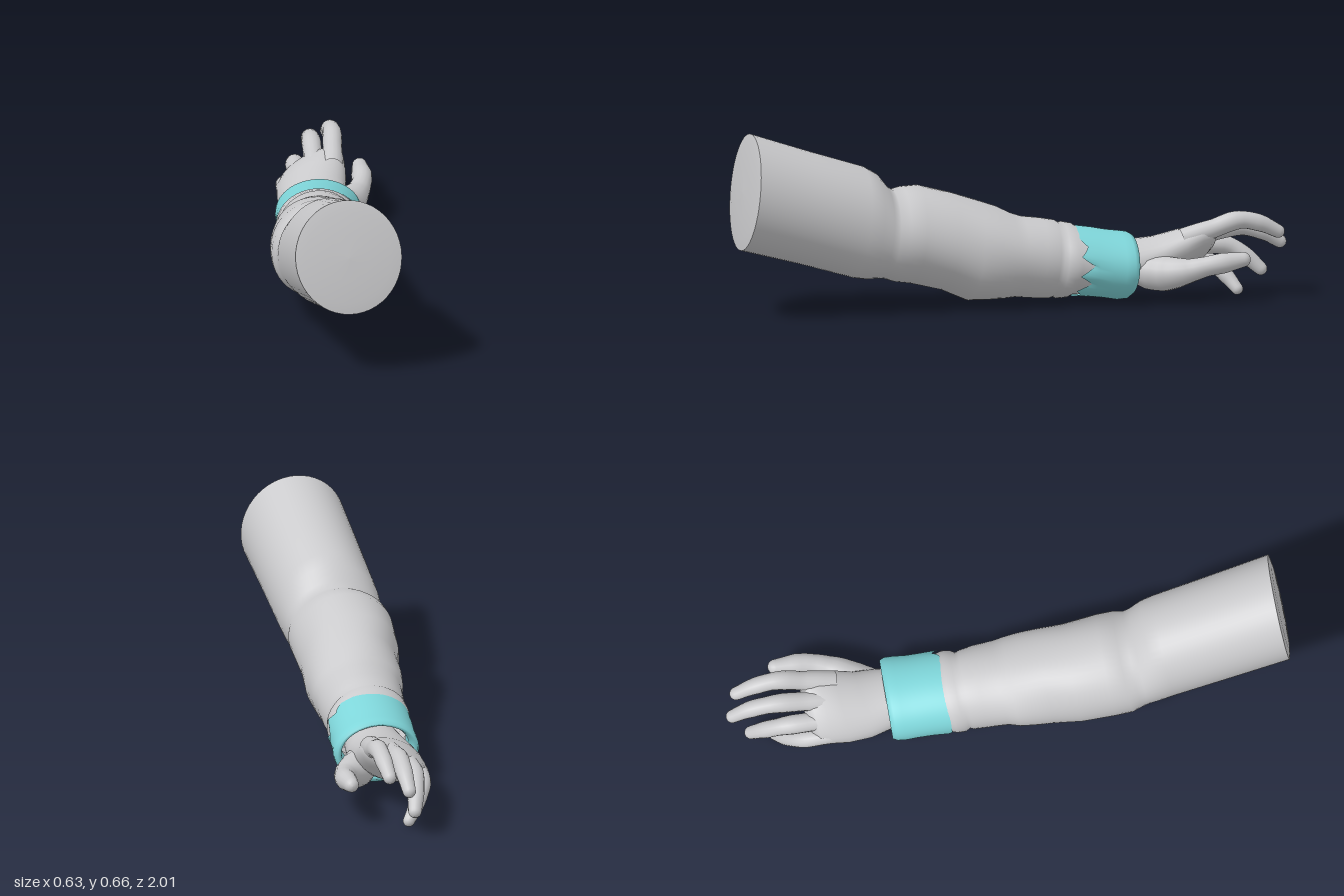
import * as THREE from 'three';

const grey = new THREE.MeshStandardMaterial({ color: 0xcacacc, side: THREE.DoubleSide });
grey.name = 'paleGrey';
const teal = new THREE.MeshStandardMaterial({ color: 0x7fd6da, side: THREE.DoubleSide });
teal.name = 'teal';

// Skin a list of equal-length rings of Vector3 into one smooth surface
function skin(rings) {
  const n = rings[0].length;
  const index = [];
  for (let i = 0; i < rings.length - 1; i++) {
    for (let j = 0; j < n; j++) {
      const k = (j + 1) % n;
      const a = i * n + j, b = (i + 1) * n + j, c = (i + 1) * n + k, d = i * n + k;
      index.push(a, b, d, b, c, d);
    }
  }
  const geo = new THREE.BufferGeometry().setFromPoints(rings.flat());
  geo.setIndex(index);
  geo.computeVertexNormals();
  return geo;
}

// Ring from [z, cx, cy, rx, ry, roll]; kx and ky lean it, wobble(a, z) scales it, jag(a) shifts z
function section([z, cx, cy, rx, ry, roll = 0], { n = 48, kx = 0, ky = 0, wobble, jag } = {}) {
  return Array.from({ length: n }, (_, j) => {
    const a = (j / n) * Math.PI * 2;
    const s = wobble ? wobble(a, z) : 1;
    const u = Math.cos(a) * rx * s, v = Math.sin(a) * ry * s;
    const x = u * Math.cos(roll) - v * Math.sin(roll);
    const y = u * Math.sin(roll) + v * Math.cos(roll);
    return new THREE.Vector3(cx + x, cy + y, z + kx * x + ky * y + (jag ? jag(a) : 0));
  });
}

// Rounded finger along a path, radii spread evenly over its length
function digit(points, radii) {
  const curve = new THREE.CatmullRomCurve3(points.map((p) => new THREE.Vector3(...p)));
  const up = new THREE.Vector3(0, 1, 0);
  const n = 16, steps = 28;
  const rings = [];
  const addRing = (t, r, push) => {
    const T = curve.getTangent(t);
    const u = new THREE.Vector3().crossVectors(T, up).normalize();
    const v = new THREE.Vector3().crossVectors(u, T);
    const c = curve.getPoint(t).addScaledVector(T, push);
    rings.push(Array.from({ length: n }, (_, j) => {
      const a = (j / n) * Math.PI * 2;
      return c.clone().addScaledVector(u, Math.cos(a) * r).addScaledVector(v, Math.sin(a) * r);
    }));
  };
  for (let i = 0; i <= steps; i++) {
    const f = (i / steps) * (radii.length - 1);
    const k = Math.min(Math.floor(f), radii.length - 2);
    addRing(i / steps, THREE.MathUtils.lerp(radii[k], radii[k + 1], f - k), 0);
  }
  // Domed tip
  const tip = radii[radii.length - 1];
  for (let i = 1; i <= 5; i++) {
    const a = (i / 5) * Math.PI / 2;
    addRing(1, Math.max(tip * Math.cos(a), 0.0004), tip * Math.sin(a));
  }
  return skin(rings);
}

export function createModel() {
  const model = new THREE.Group();
  model.name = 'sleevedArm';
  const add = (name, geo, mat, parent = model) => {
    const mesh = new THREE.Mesh(geo, mat);
    mesh.name = name;
    parent.add(mesh);
  };

  // Sleeve with elbow crease, forearm swell and gathered end
  const wobble = (a, z) => {
    const fade = THREE.MathUtils.clamp((0.6 - z) * 4, 0, 1) * THREE.MathUtils.clamp((z + 0.2) * 5, 0, 1);
    return 1 + fade * (0.012 * Math.sin(3 * a + 9 * z) + 0.008 * Math.sin(5 * a - 14 * z));
  };
  const lean = { kx: 0.13, ky: -0.12, wobble };
  const sleeve = [
    [0.97, -0.132, 0.468, 0.188, 0.207],
    [0.75, -0.118, 0.4, 0.184, 0.2],
    [0.55, -0.104, 0.337, 0.18, 0.198],
    [0.5, -0.102, 0.318, 0.179, 0.188],
    [0.46, -0.102, 0.295, 0.174, 0.164],
    [0.435, -0.102, 0.285, 0.175, 0.158],
    [0.4, -0.1, 0.283, 0.184, 0.168],
    [0.34, -0.093, 0.28, 0.184, 0.174],
    [0.22, -0.076, 0.25, 0.177, 0.173],
    [0.13, -0.05, 0.215, 0.17, 0.178],
    [0.06, -0.038, 0.203, 0.167, 0.166],
    [0.01, -0.028, 0.192, 0.162, 0.152],
    [-0.03, -0.018, 0.188, 0.153, 0.143],
    [-0.1, -0.006, 0.18, 0.149, 0.142],
    [-0.15, 0, 0.173, 0.143, 0.139],
    [-0.165, 0.002, 0.17, 0.138, 0.132],
    [-0.18, 0.005, 0.168, 0.147, 0.136],
    [-0.21, 0.012, 0.166, 0.15, 0.132],
    [-0.23, 0.016, 0.165, 0.144, 0.121],
    [-0.3, 0.028, 0.158, 0.14, 0.115],
  ];
  add('sleeve', skin(sleeve.map((s) => section(s, lean))), grey);

  // Slightly domed shoulder end
  const [z0, x0, y0, rx0, ry0] = sleeve[0];
  const domed = [[0.012, 0.002], [0.01, 0.4], [0.006, 0.8], [0, 1]];
  add('shoulderCap', skin(domed.map(([dz, k]) =>
    section([z0 + dz, x0, y0, rx0 * k, ry0 * k], { kx: 0.13, ky: -0.12 }))), grey);

  // Cuff: ragged front edge, rolled back rim, inner wall
  const cuff = [
    [-0.235, 0.018, 0.165, 0.151, 0.126],
    [-0.29, 0.03, 0.158, 0.15, 0.123],
    [-0.34, 0.04, 0.15, 0.15, 0.121],
    [-0.385, 0.05, 0.143, 0.153, 0.122],
    [-0.415, 0.056, 0.142, 0.152, 0.119],
    [-0.432, 0.058, 0.144, 0.144, 0.108],
    [-0.428, 0.058, 0.145, 0.13, 0.098],
    [-0.4, 0.056, 0.146, 0.122, 0.094],
    [-0.33, 0.04, 0.15, 0.118, 0.092],
  ];
  const ragged = (a) => {
    const tooth = Math.abs(((a * 11 / (Math.PI * 2)) % 1) - 0.5) * 2;
    const side = Math.max(0, Math.cos(a + 0.25)) ** 2 + 0.6 * Math.max(0, Math.cos(a - 4.1)) ** 4;
    return 0.012 - 0.055 * tooth * side;
  };
  add('cuff', skin(cuff.map((s, i) =>
    section(s, { n: 88, kx: 0.14, ky: -0.06, jag: i === 0 ? ragged : undefined }))), teal);

  // Hand, rolled so the thumb side sits higher
  const hand = new THREE.Group();
  hand.name = 'hand';
  model.add(hand);
  const palm = [
    [-0.34, 0.05, 0.147, 0.1, 0.084, 0],
    [-0.44, 0.062, 0.15, 0.112, 0.085, 0.1],
    [-0.52, 0.06, 0.158, 0.122, 0.08, 0.3],
    [-0.6, 0.07, 0.177, 0.134, 0.076, 0.45],
    [-0.66, 0.078, 0.195, 0.135, 0.063, 0.5],
    [-0.7, 0.083, 0.203, 0.122, 0.05, 0.5],
    [-0.722, 0.086, 0.206, 0.09, 0.032, 0.5],
    [-0.73, 0.086, 0.206, 0.001, 0.001, 0.5],
  ];
  add('palm', skin(palm.map((s) => section(s, { n: 32 }))), grey, hand);

  const fingerRadii = [0.04, 0.038, 0.034, 0.035, 0.031, 0.031, 0.027, 0.024];
  const fingers = {
    indexFinger: [[0.145, 0.235, -0.6], [0.168, 0.268, -0.7], [0.187, 0.298, -0.8], [0.196, 0.282, -0.88], [0.2, 0.25, -0.945]],
    middleFinger: [[0.085, 0.215, -0.6], [0.1, 0.242, -0.71], [0.118, 0.262, -0.83], [0.132, 0.238, -0.92], [0.138, 0.202, -0.978]],
    ringFinger: [[0.03, 0.175, -0.6], [0.038, 0.19, -0.7], [0.055, 0.185, -0.81], [0.078, 0.14, -0.88], [0.096, 0.1, -0.922]],
    littleFinger: [[-0.01, 0.14, -0.59], [-0.01, 0.147, -0.68], [0.012, 0.122, -0.765], [0.055, 0.07, -0.812], [0.087, 0.032, -0.835]],
  };
  for (const [name, path] of Object.entries(fingers)) {
    const k = name === 'littleFinger' ? 0.9 : 1;
    add(name, digit(path, fingerRadii.map((r) => r * k)), grey, hand);
  }

  // Thumb and its fleshy base
  add('thumb', digit(
    [[0.1, 0.135, -0.43], [0.165, 0.122, -0.51], [0.225, 0.133, -0.575], [0.265, 0.155, -0.655], [0.283, 0.172, -0.775]],
    [0.05, 0.064, 0.064, 0.054, 0.042, 0.036, 0.037, 0.027]), grey, hand);

  return model;
}
